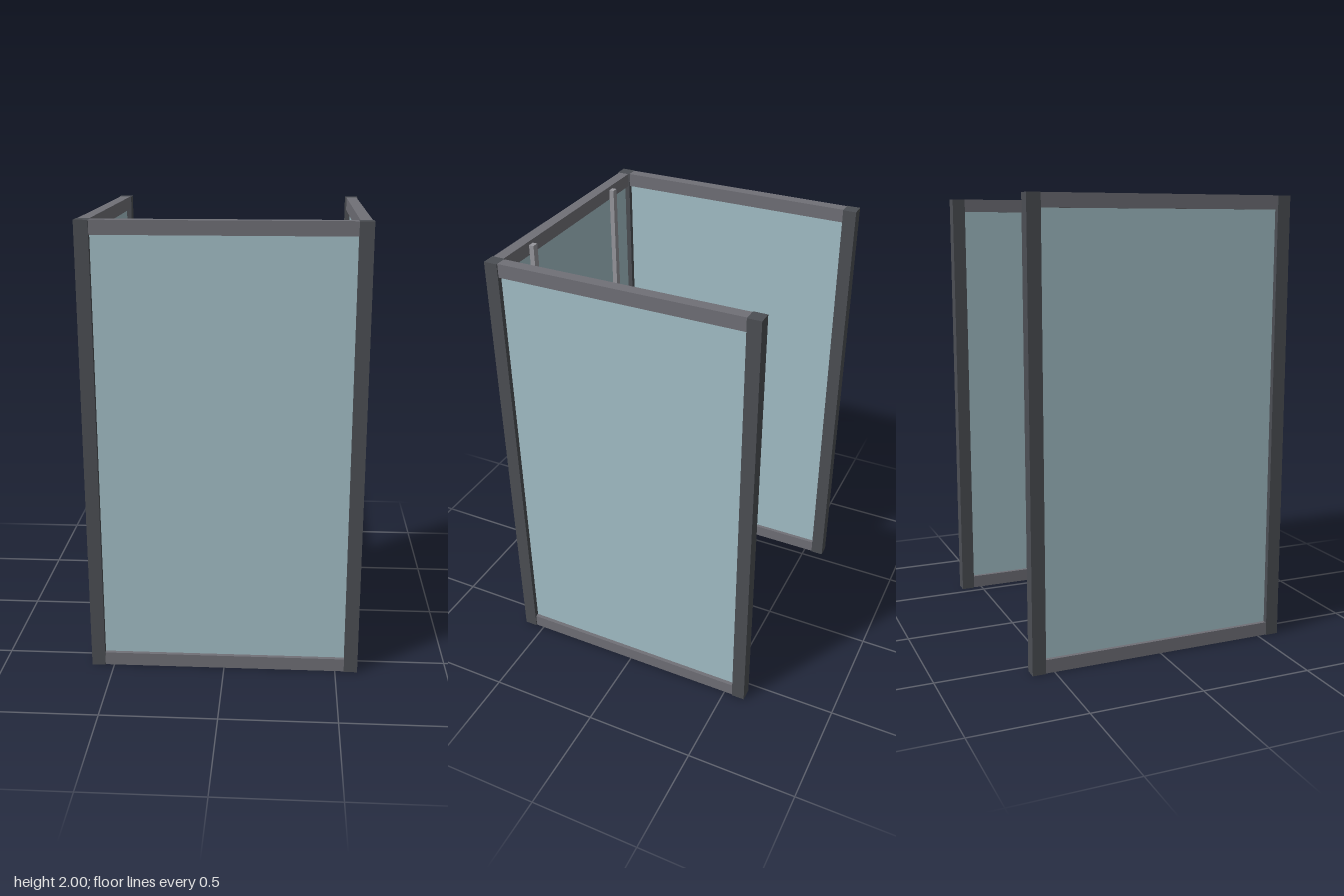
import * as THREE from 'three';

const material = (name, color) => {
  const m = new THREE.MeshStandardMaterial({ color });
  m.name = name;
  return m;
};

export function createModel() {
  const group = new THREE.Group();
  const postMat = material('dark post metal', 0x4c4f54);
  const railMat = material('grey rail metal', 0x707077);
  const glassMat = material('pale blue glass', 0xa4c0c8);
  const stiffenerMat = material('light grey metal', 0x97979d);

  const H = 2, POST = 0.06, RAIL_H = 0.06, RAIL_D = 0.05;
  const C = 0.57;              // centre line of every wall
  const SPAN = 2 * C - POST;   // clear distance between posts

  const box = (name, mat, w, h, d, x, y, z, parent = group) => {
    const mesh = new THREE.Mesh(new THREE.BoxGeometry(w, h, d), mat);
    mesh.name = name;
    mesh.position.set(x, y, z);
    parent.add(mesh);
  };

  // four corner posts
  for (const x of [-C, C])
    for (const z of [-C, C])
      box('cornerPost', postMat, POST, H, POST, x, H / 2, z);

  // three walls, each with a top rail, a bottom rail and a pane
  const walls = [['frontWall', 0], ['leftWall', Math.PI / 2], ['rightWall', -Math.PI / 2]];
  for (const [name, angle] of walls) {
    const wall = new THREE.Group();
    wall.name = name;
    wall.rotation.y = angle;
    box('bottomRail', railMat, SPAN, RAIL_H, RAIL_D, 0, RAIL_H / 2, C, wall);
    box('topRail', railMat, SPAN, RAIL_H, RAIL_D, 0, H - RAIL_H / 2, C, wall);
    box('glassPane', glassMat, SPAN, H - 2 * RAIL_H, 0.015, 0, H / 2, C, wall);
    group.add(wall);
  }

  // slim uprights just inside the front wall
  for (const x of [-0.35, 0.35])
    box('stiffener', stiffenerMat, 0.03, 1.98, 0.022, x, H / 2, 0.526);

  return group;
}
